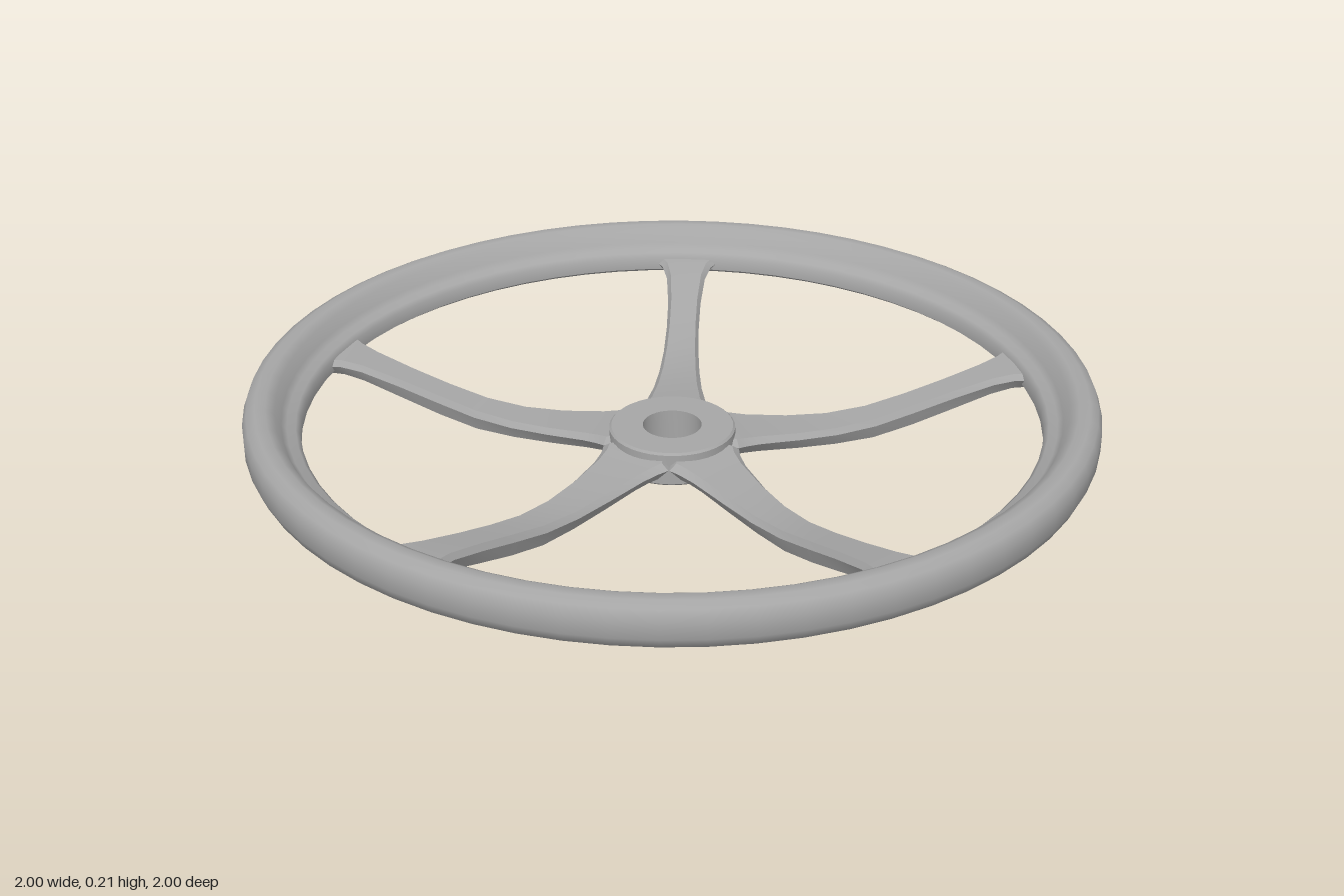
import * as THREE from 'three';
import { toCreasedNormals } from 'three/addons/utils/BufferGeometryUtils.js';

const grey = new THREE.MeshStandardMaterial({ color: 0xa6a6a6 });
grey.name = 'metal grey';

// Ring turned from a closed (radius, height) profile: up the outside, down the inside
function ring(name, profile, segments, crease) {
  const points = [...profile, profile[0]].map(([r, y]) => new THREE.Vector2(r, y));
  const mesh = new THREE.Mesh(toCreasedNormals(new THREE.LatheGeometry(points, segments), crease), grey);
  mesh.name = name;
  return mesh;
}

// Spoke stations: radius, half width, bottom, top
const stations = [
  [0.09, 0.064, 0.035, 0.082],
  [0.137, 0.098, 0.033, 0.08],
  [0.16, 0.086, 0.03, 0.075],
  [0.2, 0.074, 0.025, 0.069],
  [0.3, 0.06, 0.014, 0.058],
  [0.4, 0.051, 0.008, 0.054],
  [0.5, 0.045, 0.01, 0.063],
  [0.6, 0.042, 0.03, 0.085],
  [0.7, 0.043, 0.058, 0.11],
  [0.8, 0.051, 0.09, 0.135],
  [0.85, 0.065, 0.104, 0.146],
  [0.875, 0.083, 0.109, 0.15],
  [0.925, 0.085, 0.112, 0.155],
];

// Tapered section, wide and bevelled on top, narrow underneath
const section = [[-0.68, 0], [-1, 0.7], [-0.8, 1], [0.8, 1], [1, 0.7], [0.68, 0]];

function spokeGeometry() {
  const n = section.length;
  const positions = [];
  const index = [];
  for (const [r, w, y0, y1] of stations) {
    for (const [u, v] of section) positions.push(r, y0 + (y1 - y0) * v, u * w);
  }
  for (let i = 0; i < stations.length - 1; i++) {
    for (let j = 0; j < n; j++) {
      const a = i * n + j, b = i * n + (j + 1) % n;
      index.push(a, b, b + n, a, b + n, a + n);
    }
  }
  // End caps
  const last = (stations.length - 1) * n;
  for (let j = 1; j < n - 1; j++) {
    index.push(0, j + 1, j);
    index.push(last, last + j, last + j + 1);
  }
  const geometry = new THREE.BufferGeometry();
  geometry.setAttribute('position', new THREE.Float32BufferAttribute(positions, 3));
  geometry.setIndex(index);
  geometry.computeVertexNormals();
  return toCreasedNormals(geometry, 0.6);
}

export function createModel() {
  const wheel = new THREE.Group();
  wheel.name = 'wheel';

  // Rounded rim with a lower shelf around its inner edge
  wheel.add(ring('rim', [
    [0.885, 0.11], [0.97, 0.11], [0.99, 0.122], [1, 0.145], [1, 0.185],
    [0.99, 0.21], [0.97, 0.22], [0.945, 0.22], [0.925, 0.208], [0.912, 0.18],
    [0.9, 0.168], [0.88, 0.163], [0.87, 0.152], [0.87, 0.12],
  ], 64, 0.8));

  // Hub with a through hole
  wheel.add(ring('hub', [
    [0.07, 0.015], [0.145, 0.015], [0.15, 0.02], [0.15, 0.095], [0.145, 0.1], [0.07, 0.1],
  ], 40, 0.5));

  // Five dished spokes
  const geometry = spokeGeometry();
  for (let i = 0; i < 5; i++) {
    const spoke = new THREE.Mesh(geometry, grey);
    spoke.name = `spoke${i + 1}`;
    spoke.rotation.y = (i * Math.PI * 2) / 5;
    wheel.add(spoke);
  }

  // Stand the lowest point on the ground
  wheel.position.y = -0.008;
  const model = new THREE.Group();
  model.name = 'spokedWheel';
  model.add(wheel);
  return model;
}
